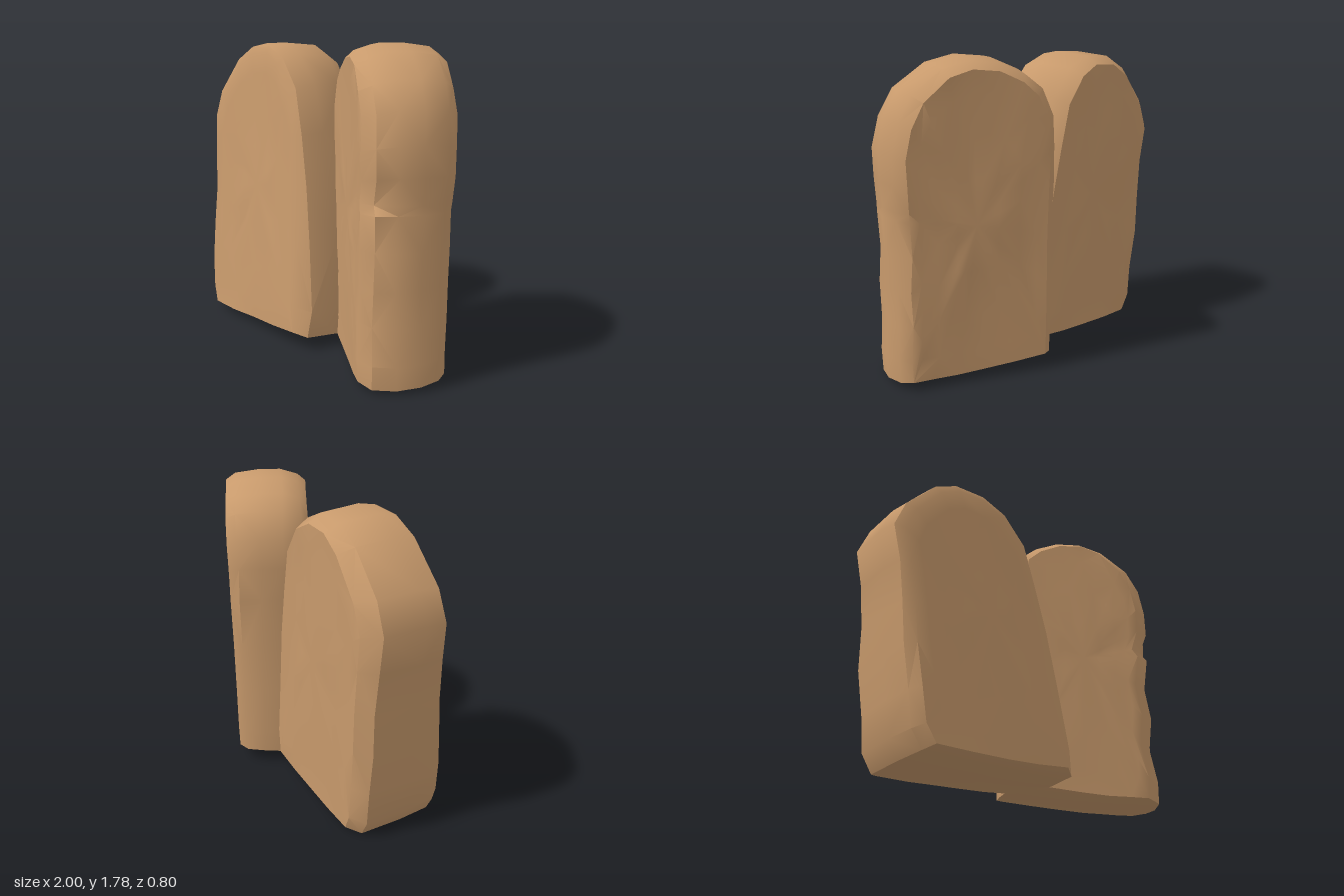
import * as THREE from 'three';
import { toCreasedNormals } from 'three/addons/utils/BufferGeometryUtils.js';

// Gentle unevenness of the stone surface
const bump = (x, y, s) =>
  0.003 * Math.sin(9 * x + 5 * y + s) + 0.003 * Math.sin(17 * y - 8 * x + 2 * s) + 0.002 * Math.sin(31 * x + 23 * y);

// Slab built from rings: front face centre, front edge, side, back edge, back face centre.
// outline: clockwise [x, y, chip]
// layers: [z, lean per unit height, tilt per unit width, left-hand inset, right-hand inset, top inset, bottom lift]
function slabGeometry(outline, layers, [cx, cy], seed) {
  const n = outline.length;
  const ring = ([z, lean, tilt, insetA, insetB, insetTop, lift], scale, face) => outline.map(([px, py, chip = 0]) => {
    const dx = px - cx, dy = py - cy;
    const cut = (dx < 0 ? insetA : insetB) + (z > 0.1 ? chip : 0);
    const wave = scale === 1 && py > 0.15 ? bump(z * 3, py * 1.5, seed) : 0;
    const x = cx + dx * (1 - (cut - wave) / 0.5) * scale;
    const y = cy + (dy > 0 ? dy * (1 - insetTop / 0.87) : dy * (1 - lift / 0.9)) * scale;
    return [x, y, z + lean * y + tilt * (x - cx) + bump(x, y, seed + face)];
  });
  const front = layers[0], back = layers[layers.length - 1];
  const rings = [
    ...[0, 0.3, 0.6, 0.85].map((s) => ring(front, s, 0)),
    ...layers.map((l, i) => ring(l, 1, i < 2 ? 0 : 3)),
    ...[0.85, 0.6, 0.3, 0].map((s) => ring(back, s, 3)),
  ];
  const index = [];
  const last = rings.length - 2;
  for (let k = 0; k <= last; k++) {
    for (let i = 0; i < n; i++) {
      const j = (i + 1) % n;
      const a = k * n + i, b = k * n + j, c = b + n, d = a + n;
      if (k === 0) index.push(a, c, d);
      else if (k === last) index.push(a, b, c);
      else if ((i + k) % 2) index.push(a, b, c, a, c, d);
      else index.push(a, b, d, b, c, d);
    }
  }
  const g = new THREE.BufferGeometry();
  g.setAttribute('position', new THREE.Float32BufferAttribute(rings.flat(2), 3));
  g.setIndex(index);
  return toCreasedNormals(g, 0.7);
}

export function createModel() {
  const model = new THREE.Group();
  model.name = 'stoneTablets';
  const stone = new THREE.MeshStandardMaterial({ color: 0xc89a6c });
  stone.name = 'tan stone';

  // Wide slab that leans back and flares to one side at its foot
  const wide = new THREE.Mesh(slabGeometry(
    [[-0.82, 0], [-0.88, 0.1], [-0.9, 0.3], [-0.93, 0.55], [-0.94, 0.8], [-0.965, 1.05], [-1, 1.27],
      [-0.93, 1.44], [-0.73, 1.66], [-0.57, 1.745], [-0.37, 1.755], [-0.2, 1.69], [-0.05, 1.52], [0.03, 1.25],
      [0.11, 0.95], [0.165, 0.6], [0.23, 0.22], [0.21, 0.06], [-0.05, 0.035], [-0.3, 0.02], [-0.58, 0.005]],
    [[0.38, -0.1, 0, 0.055, 0.09, 0.06, 0.045], [0.315, -0.07, 0, 0.01, 0.025, 0.02, 0.02], [0.12, -0.02, 0, 0, 0, 0, 0.01],
      [-0.12, -0.015, 0.03, 0.01, 0.05, 0.02, 0], [-0.185, -0.025, 0.03, 0.09, 0.12, 0.07, 0.02]],
    [-0.38, 0.9], 1), stone);
  wide.name = 'wideSlab';
  model.add(wide);

  // Narrower slab, turned inward, with a chip in its outer front edge
  const narrow = new THREE.Mesh(slabGeometry(
    [[-0.46, 0.06], [-0.465, 0.2], [-0.46, 0.5], [-0.46, 0.8], [-0.47, 1.1], [-0.475, 1.3], [-0.47, 1.47], [-0.4, 1.62],
      [-0.3, 1.7], [-0.15, 1.765], [0.02, 1.78], [0.18, 1.74], [0.36, 1.61], [0.44, 1.47], [0.475, 1.3], [0.475, 1.14],
      [0.465, 1.0, 0.04], [0.465, 0.95], [0.455, 0.75, 0.02], [0.465, 0.55], [0.46, 0.35, 0.02], [0.475, 0.15],
      [0.47, 0.02], [0.33, 0.02], [0.15, 0.02], [-0.05, 0.03], [-0.25, 0.045]],
    [[0.25, -0.01, 0.02, 0.07, 0.12, 0.07, 0.02], [0.2, -0.01, 0, 0.035, 0.03, 0.03, 0.005], [0.08, 0, 0, 0, 0, 0, 0],
      [-0.05, 0, 0, 0, 0, 0, 0.01], [-0.16, -0.02, 0, 0.01, 0.045, 0.02, 0.02], [-0.21, -0.025, 0, 0.06, 0.11, 0.06, 0.03]],
    [0, 0.9], 4), stone);
  narrow.name = 'narrowSlab';
  narrow.position.x = 0.53;
  narrow.rotation.y = -0.455;
  model.add(narrow);

  return model;
}
